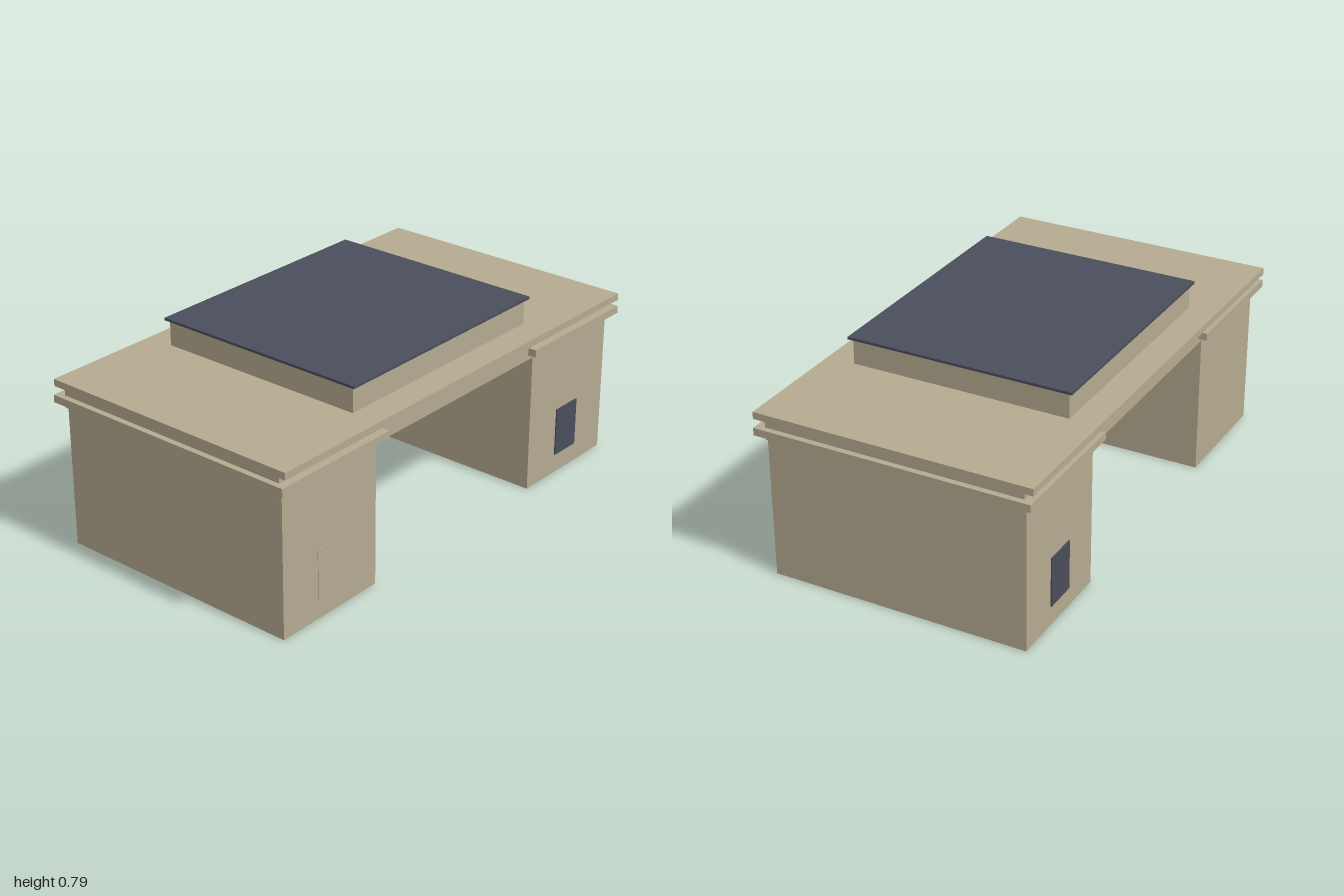
import * as THREE from 'three';

export function createModel() {
  const model = new THREE.Group();
  model.name = 'gatehouse';

  const stone = new THREE.MeshStandardMaterial({ color: 0xb5aa91 });
  stone.name = 'sandstone';
  const slate = new THREE.MeshStandardMaterial({ color: 0x4a4e5b });
  slate.name = 'dark slate';

  // Box given by its lower and upper corners
  const block = (name, material, [x0, y0, z0], [x1, y1, z1]) => {
    const mesh = new THREE.Mesh(new THREE.BoxGeometry(x1 - x0, y1 - y0, z1 - z0), material);
    mesh.position.set((x0 + x1) / 2, (y0 + y1) / 2, (z0 + z1) / 2);
    mesh.name = name;
    model.add(mesh);
  };

  // Two supporting wings, each with a projecting moulding
  for (const [side, s] of [['left', 1], ['right', -1]]) {
    const span = (a, b) => (s > 0 ? [a, b] : [-b, -a]);
    const [w0, w1] = span(0.47, 0.965);
    block(side + 'Wing', stone, [w0, 0, -0.52], [w1, 0.57, 0.52]);
    const [m0, m1] = span(0.44, 1.0);
    block(side + 'Moulding', stone, [m0, 0.59, -0.555], [m1, 0.62, 0.555]);
  }

  // Bridge across the wings, and the main roof slab
  block('bridge', stone, [-0.977, 0.57, -0.52], [0.977, 0.65, 0.52]);
  block('roofSlab', stone, [-0.99, 0.65, -0.56], [0.99, 0.678, 0.56]);

  // Raised upper storey with a thin dark cap
  block('upperStorey', stone, [-0.507, 0.678, -0.445], [0.507, 0.78, 0.445]);
  block('upperRoof', slate, [-0.52, 0.78, -0.46], [0.52, 0.79, 0.46]);

  // Windows on the left wing, and a blind panel on the right wing
  block('frontWindow', slate, [0.65, 0.08, 0.518], [0.785, 0.28, 0.525]);
  block('backWindow', slate, [0.65, 0.08, -0.525], [0.785, 0.28, -0.518]);
  block('blindPanel', stone, [-0.785, 0.08, 0.518], [-0.65, 0.28, 0.522]);

  return model;
}
